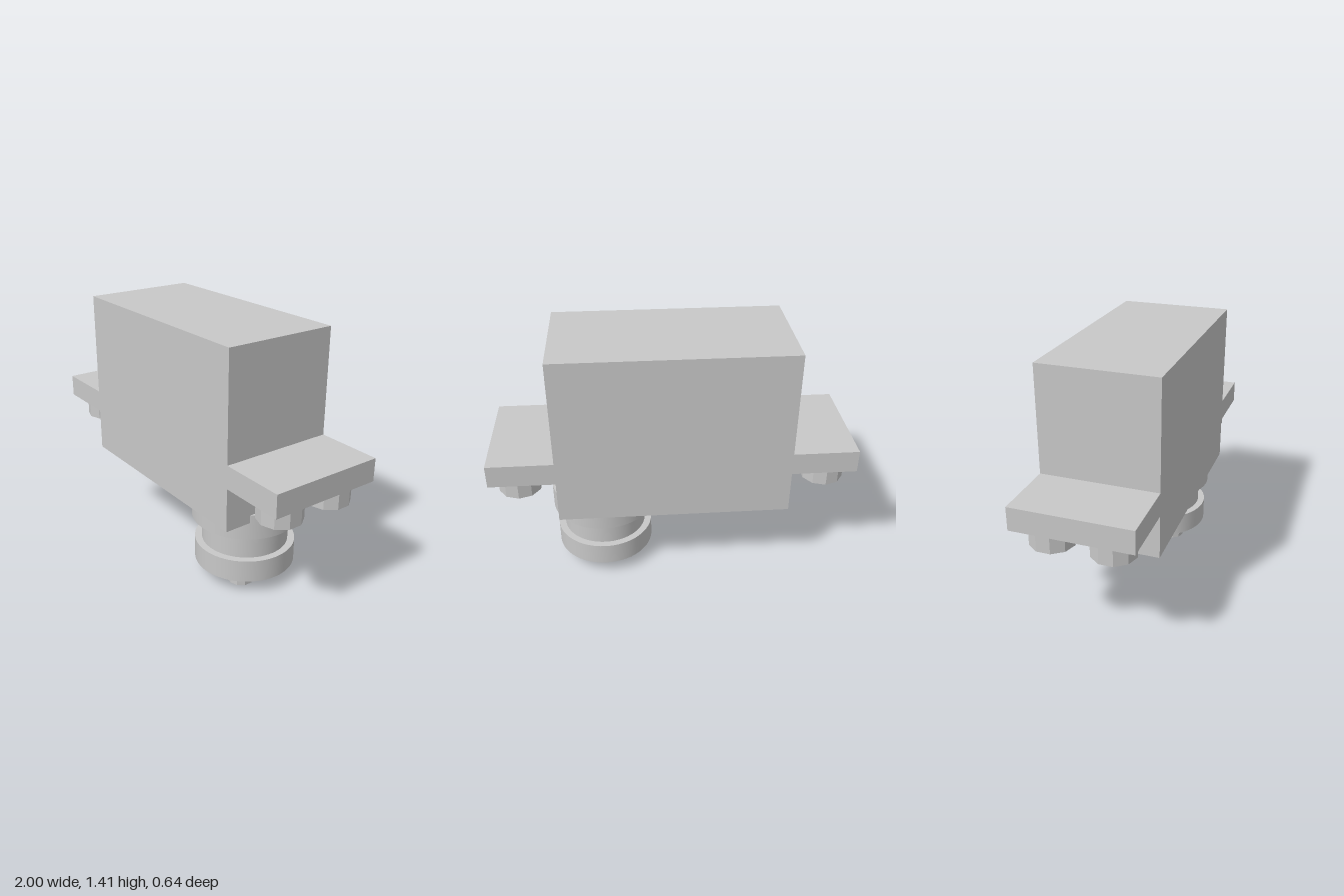
import * as THREE from 'three';

export function createModel() {
  const model = new THREE.Group();
  model.name = 'servoMotor';
  const grey = new THREE.MeshStandardMaterial({ color: 0xc8c8c8 });
  grey.name = 'lightGrey';

  const add = (name, geometry) => {
    const mesh = new THREE.Mesh(geometry, grey);
    mesh.name = name;
    model.add(mesh);
  };
  // Smooth upright cylinder between two heights
  const cylinder = (name, x, z, r, y0, y1) => {
    add(name, new THREE.CylinderGeometry(r, r, y1 - y0, 64).translate(x, (y0 + y1) / 2, z));
  };
  // Ten-sided bolt head with flat faces and a corner pointing along z
  const bolt = (name, x, z, r, y0, y1) => {
    const g = new THREE.CylinderGeometry(r, r, y1 - y0, 10).toNonIndexed();
    g.computeVertexNormals();
    add(name, g.translate(x, (y0 + y1) / 2, z));
  };

  // Housing with its two mounting ears, one cross-shaped outline
  const outline = new THREE.Shape([
    [-0.64, 0.451], [0.64, 0.451], [0.64, 0.693], [1, 0.693], [1, 0.82], [0.64, 0.82],
    [0.64, 1.407], [-0.64, 1.407], [-0.64, 0.82], [-1, 0.82], [-1, 0.693], [-0.64, 0.693],
  ].map(([x, y]) => new THREE.Vector2(x, y)));
  add('housing', new THREE.ExtrudeGeometry(outline, { depth: 0.64, bevelEnabled: false })
    .translate(0, 0, -0.32));

  // Mounting bolts under the ears
  for (const x of [-0.85, 0.85])
    for (const z of [-0.16, 0.16]) bolt('mountingBolt', x, z, 0.119, 0.579, 0.693);

  // Output shaft, offset to the left end
  const cx = 0.398;
  cylinder('shaftCollar', cx, 0, 0.295, 0.353, 0.495);
  cylinder('shaft', cx, 0, 0.239, 0.207, 0.353);
  cylinder('outputDisc', cx, 0, 0.278, 0.081, 0.207);

  // Centre screw ringed by four small ones
  bolt('centreScrew', cx, 0, 0.127, 0, 0.081);
  for (const dx of [-0.108, 0.108])
    for (const dz of [-0.11, 0.11]) bolt('discScrew', cx + dx, dz, 0.07, 0.017, 0.081);

  return model;
}
